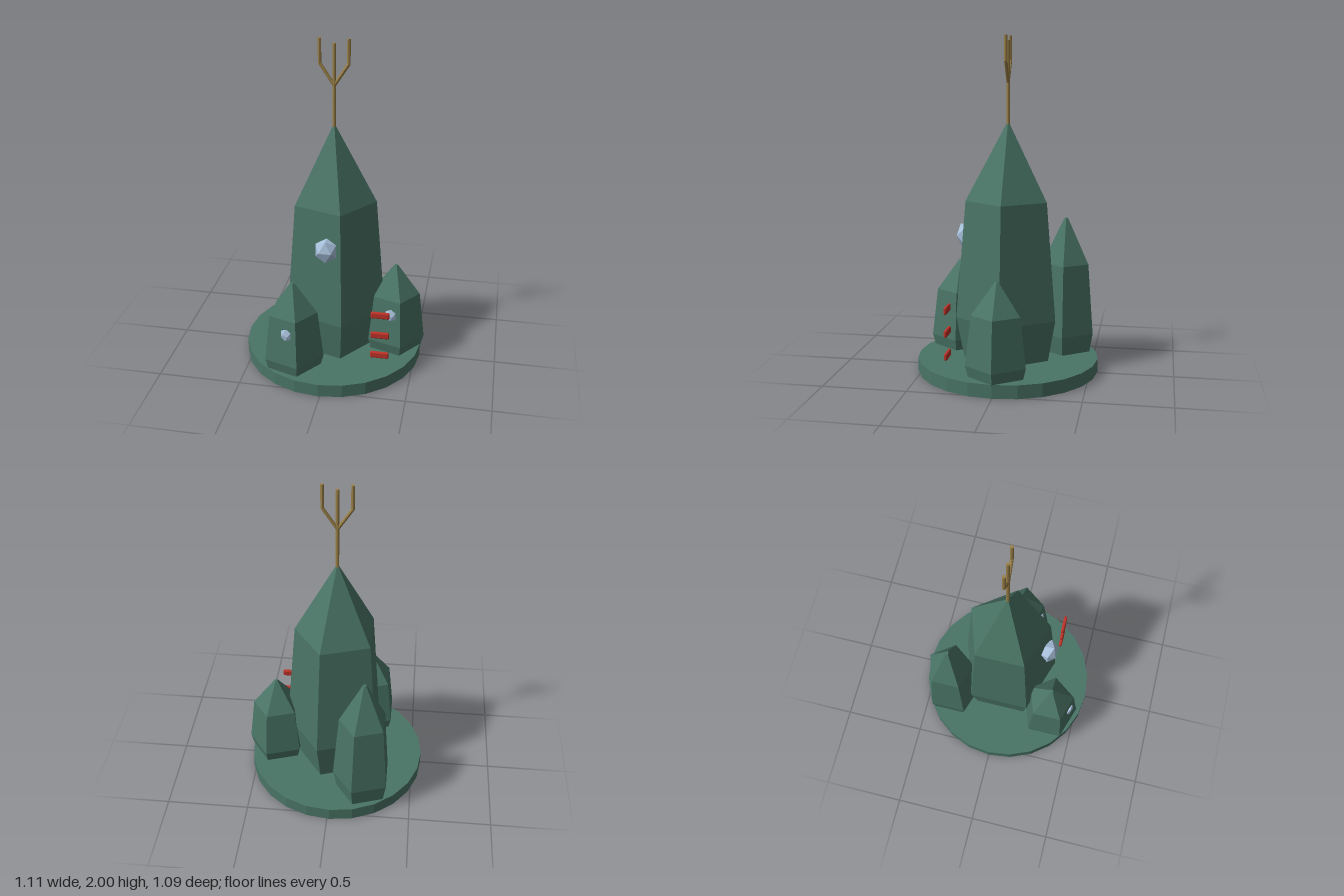
import * as THREE from 'three';
import { RoundedBoxGeometry } from 'three/addons/geometries/RoundedBoxGeometry.js';

export function createModel() {
  const model = new THREE.Group();
  const cx = -0.013; // axis of the main spire
  const material = (name, color, flatShading = true) => {
    const m = new THREE.MeshStandardMaterial({ color, flatShading });
    m.name = name;
    return m;
  };
  const green = material('stoneGreen', 0x4a7566);
  const gold = material('oldGold', 0x9a8048);
  const blue = material('paleCrystal', 0xa9c2dd);
  const red = material('signalRed', 0xc03329);

  const add = (name, geometry, mat, x = 0, y = 0, z = 0) => {
    const mesh = new THREE.Mesh(geometry, mat);
    mesh.name = name;
    mesh.position.set(x, y, z);
    model.add(mesh);
    return mesh;
  };

  // Round plinth
  add('base', new THREE.CylinderGeometry(0.546, 0.546, 0.08, 24), green, cx, 0.04, 0);

  // Five-sided spires, one corner towards +x
  const spire = (name, x, z, bottom, top, r) => {
    const h = top - bottom;
    const profile = [[0, 0], [0.85, 0], [1, 0.18], [0.81, 0.68], [0.011 / r, 1], [0, 1]]
      .map(([k, t]) => new THREE.Vector2(k * r, t * h));
    add(name, new THREE.LatheGeometry(profile, 5, Math.PI / 2), green, x, bottom, z);
  };
  spire('mainSpire', cx, 0, 0.075, 1.487, 0.315);
  spire('leftSpire', 0.369, 0, 0.04, 0.625, 0.184);
  spire('frontSpire', -0.202, 0.33, 0.04, 0.625, 0.184);
  spire('backSpire', -0.202, -0.33, 0.04, 0.905, 0.184);

  // Three-pronged finial
  const rod = (name, x1, y1, x2, y2) => {
    const length = Math.hypot(x2 - x1, y2 - y1);
    const mesh = add(name, new THREE.CylinderGeometry(0.01, 0.01, length, 8), gold,
      cx + (x1 + x2) / 2, (y1 + y2) / 2, 0);
    mesh.rotation.z = -Math.atan2(x2 - x1, y2 - y1);
  };
  rod('finialShaft', 0, 1.45, 0, 1.972);
  for (const s of [-1, 1]) {
    rod('finialArm', 0, 1.73, s * 0.083, 1.857);
    rod('finialProng', s * 0.083, 1.852, s * 0.083, 2);
  }

  // Faceted crystals set in the front faces
  const crystal = (name, r, depth, x, y, z, turn) => {
    const geometry = new THREE.IcosahedronGeometry(r, 0).rotateY(Math.PI / 2).scale(1, 1.1, depth);
    add(name, geometry, blue, x, y, z).rotation.y = turn;
  };
  crystal('mainCrystal', 0.071, 0.75, -0.014, 0.817, 0.262, 0);
  crystal('frontCrystal', 0.038, 0.4, -0.215, 0.346, 0.464, -Math.PI / 10);
  crystal('leftCrystal', 0.038, 0.4, 0.358, 0.346, 0.136, -Math.PI / 10);

  // Stack of red bars
  for (const y of [0.168, 0.305, 0.441]) {
    add('redBar', new RoundedBoxGeometry(0.112, 0.042, 0.02, 2, 0.009), red, 0.316, y, 0.301);
  }
  return model;
}
